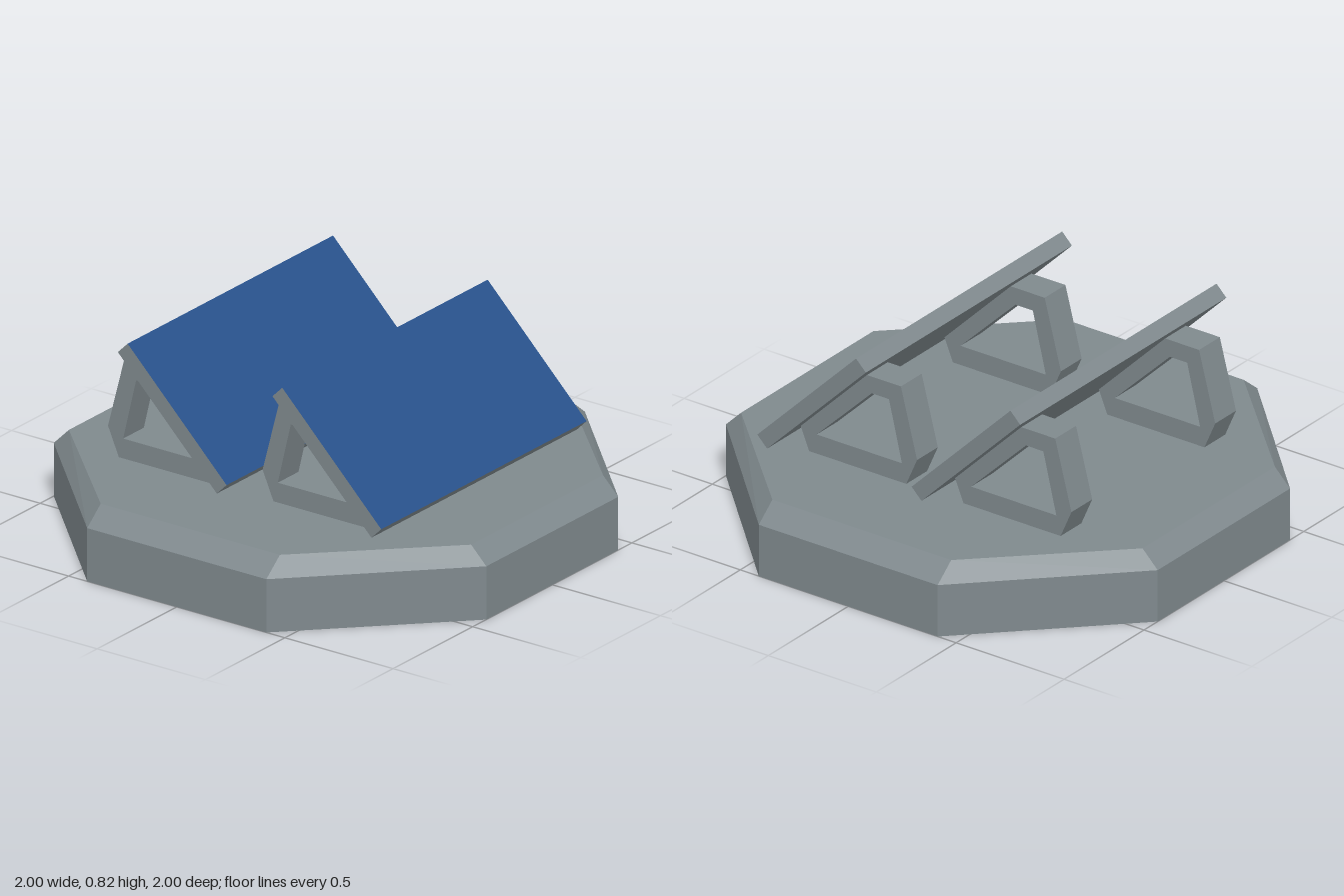
import * as THREE from 'three';

export function createModel() {
  const model = new THREE.Group();
  model.name = 'solarPanelPlatform';

  const grey = new THREE.MeshStandardMaterial({ color: 0x7f898d, flatShading: true });
  grey.name = 'grey metal';
  const blue = new THREE.MeshStandardMaterial({ color: 0x28518b, flatShading: true });
  blue.name = 'panel blue';

  function add(parent, name, geometry, material) {
    const mesh = new THREE.Mesh(geometry, material);
    mesh.name = name;
    parent.add(mesh);
    return mesh;
  }

  // Octagonal base; the top ring is pulled in to form the bevel
  const r = 1 / Math.cos(Math.PI / 8);
  const profile = [[0, 0], [r, 0], [r, 0.215], [r, 0.285], [0, 0.285]]
    .map(([x, y]) => new THREE.Vector2(x, y));
  const lathe = new THREE.LatheGeometry(profile, 8, Math.PI / 8);
  const pos = lathe.attributes.position;
  for (let i = 0; i < pos.count; i++) {
    if (pos.getY(i) < 0.25) continue;
    pos.setX(i, THREE.MathUtils.clamp(pos.getX(i), -0.915, 0.915));
    pos.setZ(i, THREE.MathUtils.clamp(pos.getZ(i), -0.93, 0.93));
  }
  const baseGeometry = lathe.toNonIndexed();
  baseGeometry.computeVertexNormals();
  add(model, 'base', baseGeometry, grey);

  // Bracket side outline as (z, y), with a see-through opening
  const points = (list) => list.map(([z, y]) => new THREE.Vector2(z, y));
  const outline = new THREE.Shape(points([
    [0.54, 0.285], [0.58, 0.38], [0.275, 0.685], [0.115, 0.685], [0.04, 0.4], [0.09, 0.285],
  ]));
  outline.holes.push(new THREE.Path(points([
    [0.505, 0.365], [0.11, 0.365], [0.17, 0.615], [0.25, 0.615],
  ])));
  const bracketGeometry = new THREE.ExtrudeGeometry(outline, { depth: 0.13, bevelEnabled: false });
  bracketGeometry.translate(0, 0, -0.065).rotateY(-Math.PI / 2);

  // Tilted panel: blue on its face, grey elsewhere
  const panelGeometry = new THREE.BoxGeometry(1.29, 0.647, 0.064);
  const panelMaterials = [grey, grey, grey, grey, blue, grey];

  // Two identical rows, each a panel on a pair of brackets
  [['frontRow', 0], ['backRow', -0.715]].forEach(([name, z]) => {
    const row = new THREE.Group();
    row.name = name;
    row.position.z = z;
    const panel = add(row, 'panel', panelGeometry, panelMaterials);
    panel.position.set(0, 0.57, 0.4325);
    panel.rotation.x = -Math.PI / 4;
    for (const side of [1, -1]) {
      const bracket = add(row, side > 0 ? 'leftBracket' : 'rightBracket', bracketGeometry, grey);
      bracket.position.x = side * 0.45;
    }
    model.add(row);
  });

  return model;
}
